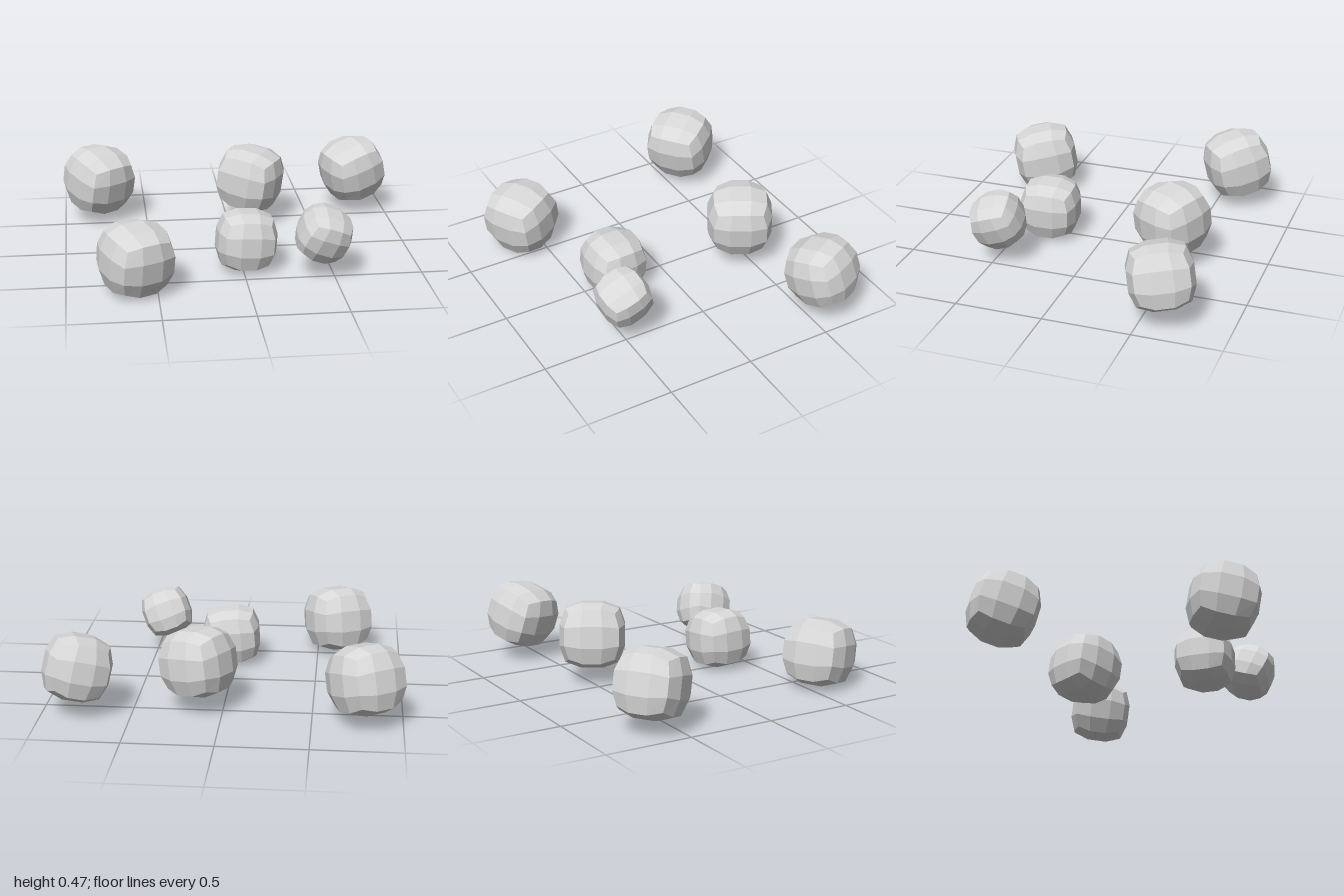
import * as THREE from 'three';

// Faceted boulder: a 3x3 segmented cube, partly inflated towards a sphere,
// with the eight corners pulled in a little more so the facets stay flat
function boulderGeometry(radius, roundness = 0.75) {
  const geo = new THREE.BoxGeometry(2, 2, 2, 3, 3, 3);
  const pos = geo.attributes.position;
  const p = new THREE.Vector3();
  for (let i = 0; i < pos.count; i++) {
    p.fromBufferAttribute(pos, i);
    const t = p.length() > 1.7 ? roundness + 0.08 : roundness;
    p.lerp(p.clone().normalize(), t).multiplyScalar(radius);
    pos.setXYZ(i, p.x, p.y, p.z);
  }
  geo.computeVertexNormals();
  return geo;
}

// Orientation from the direction of the top face and a heading in degrees
function orient(mesh, up, heading) {
  const a = THREE.MathUtils.degToRad(heading);
  const y = new THREE.Vector3(...up).normalize();
  const x = y.clone().cross(new THREE.Vector3(Math.sin(a), 0, Math.cos(a))).normalize();
  const z = x.clone().cross(y);
  mesh.quaternion.setFromRotationMatrix(new THREE.Matrix4().makeBasis(x, y, z));
}

export function createModel() {
  const group = new THREE.Group();
  group.name = 'boulders';
  const stone = new THREE.MeshStandardMaterial({ color: 0xd8d8d8, flatShading: true });
  stone.name = 'stone grey';

  // name, centre, radius, top face direction, heading
  const boulders = [
    ['backRightBoulder', [-0.787, 0.262, -0.605], 0.203, [0.13, 0.96, 0.2], 35],
    ['backMiddleBoulder', [0.14, 0.284, -0.465], 0.202, [0.12, 0.98, 0.08], -30],
    ['backLeftBoulder', [0.797, 0.278, -0.597], 0.194, [-0.2, 0.94, 0.2], 20],
    ['frontMiddleBoulder', [0.02, 0.181, 0.32], 0.18, [0.08, 0.99, -0.03], 4],
    ['smallBoulder', [0.438, 0.26, 0.48], 0.154, [0.37, 0.87, 0.3], 8],
    ['frontRightBoulder', [-0.617, 0.208, 0.602], 0.203, [0.07, 0.98, 0.15], 27],
  ];
  for (const [name, centre, radius, up, heading] of boulders) {
    const mesh = new THREE.Mesh(boulderGeometry(radius), stone);
    mesh.name = name;
    mesh.position.set(...centre);
    orient(mesh, up, heading);
    group.add(mesh);
  }
  return group;
}
